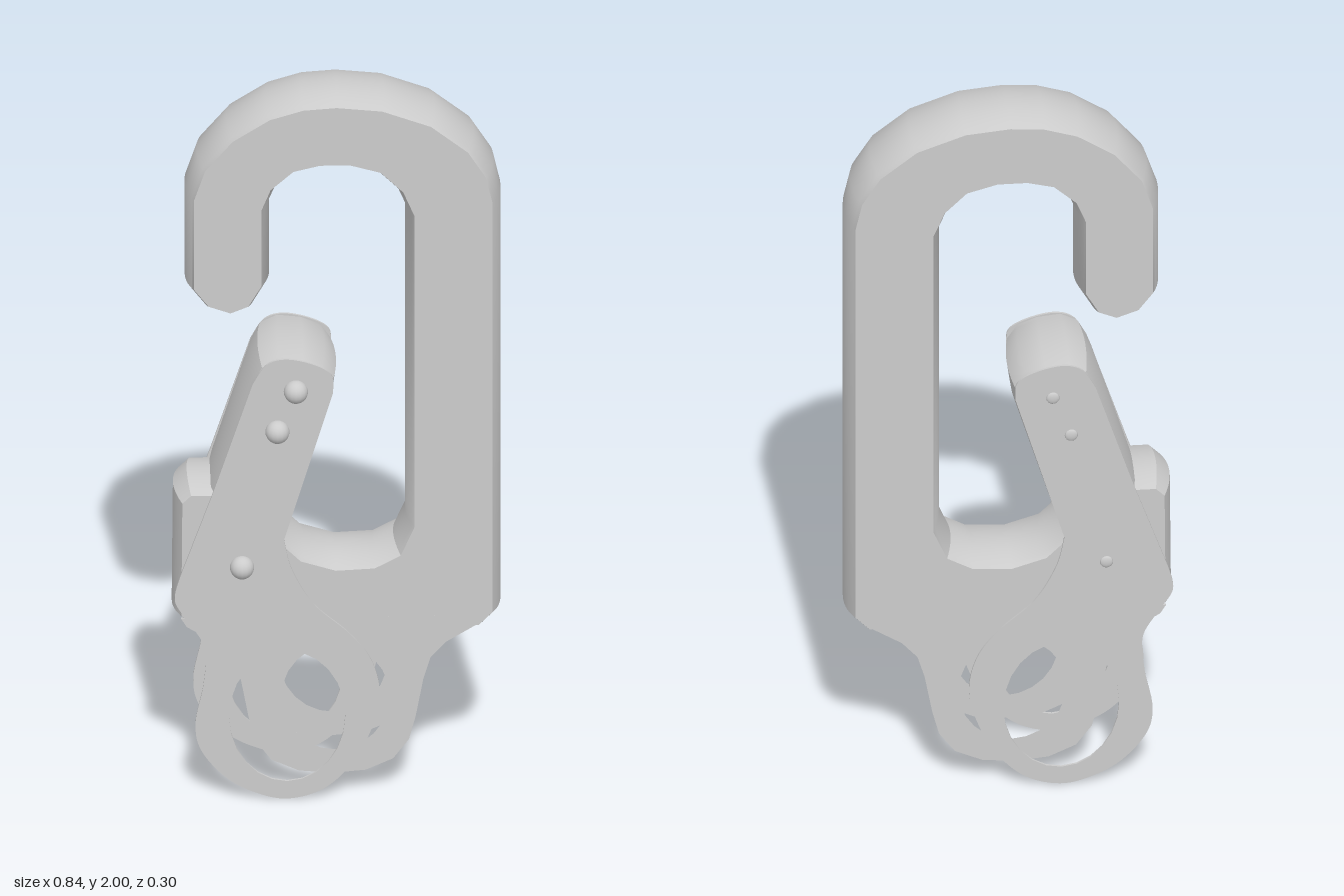
import * as THREE from 'three';
import { toCreasedNormals } from 'three/addons/utils/BufferGeometryUtils.js';

const MID_Z = -0.0125; // middle plane of the whole clip
const grey = new THREE.MeshStandardMaterial({ color: 0xcccccc });
const vectors = (pts) => pts.map(([x, y]) => new THREE.Vector2(x, y));

function add(parent, name, geometry, x = 0, y = 0, z = 0) {
  const mesh = new THREE.Mesh(geometry, grey);
  mesh.name = name;
  mesh.position.set(x, y, z);
  parent.add(mesh);
  return mesh;
}

// Solid whose side walls bulge outward in an arc between two flat faces.
function bulgedSolid(points, half, bulge) {
  const geo = new THREE.ExtrudeGeometry(new THREE.Shape(vectors(points)), {
    depth: 0.002, bevelThickness: half, bevelSize: bulge, bevelOffset: -bulge, bevelSegments: 6,
  });
  geo.translate(0, 0, -0.001);
  const pos = geo.attributes.position;
  for (let i = 0; i < pos.count; i++) {
    const z = pos.getZ(i);
    const c = Math.min(1, Math.max(0, (Math.abs(z) - 0.001) / half));
    // turn the quarter-round bevel into a shallow barrel profile
    pos.setZ(i, Math.sign(z) * (0.001 + half * Math.sqrt(1 - Math.sqrt(1 - c * c))));
  }
  return toCreasedNormals(geo, 0.6);
}

// Thin sheet with an oval finger hole.
function ringPlate(shape, cx, cy, rx, ry, thickness) {
  const hole = new THREE.Path();
  hole.absellipse(cx, cy, rx, ry, 0, Math.PI * 2, true);
  shape.holes.push(hole);
  const geo = new THREE.ExtrudeGeometry(shape, { depth: thickness, bevelEnabled: false, curveSegments: 12 });
  geo.translate(0, 0, -thickness / 2);
  return toCreasedNormals(geo, 0.6);
}

export function createModel() {
  const model = new THREE.Group();
  model.name = 'springHook';

  // Hook body: open loop with a rounded shoulder under the gate
  const body = [
    [-0.385, 1.45], [-0.34, 1.39], [-0.27, 1.365], [-0.21, 1.39], [-0.17, 1.46],
    [-0.17, 1.68], [-0.15, 1.73], [-0.1, 1.775], [-0.04, 1.79], [0.03, 1.79], [0.1, 1.77],
    [0.15, 1.72], [0.175, 1.66], [0.175, 0.77], [0.145, 0.7], [0.09, 0.67], [0, 0.665],
    [-0.08, 0.69], [-0.13, 0.74], [-0.2, 0.84], [-0.29, 0.885], [-0.38, 0.885], [-0.415, 0.85],
    [-0.418, 0.51], [-0.37, 0.46], [0.37, 0.46], [0.418, 0.51], [0.418, 1.7],
    [0.4, 1.78], [0.35, 1.86], [0.25, 1.94], [0.12, 1.988], [0, 2], [-0.09, 1.993],
    [-0.18, 1.965], [-0.28, 1.9], [-0.355, 1.81], [-0.385, 1.72],
  ];
  add(model, 'hookBody', bulgedSolid(body, 0.103, 0.022), 0, 0, MID_Z);

  // Fixed finger rings: one sheet on each face of the body, mirrored about its own axis
  const axis = -0.012;
  const side = [
    [0.385, 0.51], [0.37, 0.485], [0.29, 0.435], [0.25, 0.39], [0.232, 0.33],
    [0.212, 0.22], [0.195, 0.155], [0.155, 0.1], [0.085, 0.068],
  ];
  const rightHalf = side.map(([x, y]) => [axis + x, y]);
  const leftHalf = side.map(([x, y]) => [axis - x, y]).reverse();
  const fixedRing = () => ringPlate(
    new THREE.Shape(vectors([...rightHalf, [axis, 0.06], ...leftHalf])), axis + 0.008, 0.28, 0.138, 0.152, 0.006);

  // Gate block between the lever sheets
  const gate = [
    [-0.325, 0.87], [-0.225, 1.2], [-0.2, 1.25], [-0.15, 1.275], [-0.085, 1.268], [-0.03, 1.245],
    [0, 1.2], [-0.01, 1.13], [-0.1, 0.83], [-0.16, 0.85], [-0.24, 0.875],
  ];
  add(model, 'gateBlock', bulgedSolid(gate, 0.121, 0.012), 0, 0, MID_Z);

  // Lever sheet: rounded top arm running down into a finger ring
  const leverSheet = () => {
    const shape = new THREE.Shape();
    shape.moveTo(-0.135, 0.745);
    shape.lineTo(-0.01, 1.17);
    shape.splineThru(vectors([[-0.015, 1.22], [-0.06, 1.25], [-0.13, 1.266], [-0.18, 1.25], [-0.215, 1.195]]));
    shape.lineTo(-0.32, 0.87);
    shape.lineTo(-0.4, 0.64);
    shape.splineThru(vectors([
      [-0.412, 0.57], [-0.37, 0.5], [-0.335, 0.43], [-0.34, 0.33], [-0.36, 0.22], [-0.345, 0.14],
      [-0.28, 0.06], [-0.2, 0.015], [-0.12, 0], [-0.03, 0.03], [0.045, 0.11], [0.095, 0.22],
      [0.108, 0.31], [0.085, 0.4], [0.03, 0.475], [-0.06, 0.56], [-0.115, 0.66], [-0.135, 0.745],
    ]));
    return ringPlate(shape, -0.127, 0.238, 0.148, 0.188, 0.006);
  };

  for (const [label, s] of [['front', 1], ['back', -1]]) {
    add(model, label + 'FixedRing', fixedRing(), 0, 0, MID_Z + s * 0.101);
    add(model, label + 'LeverSheet', leverSheet(), 0, 0, MID_Z + s * 0.124);
  }

  // Rivets: domed head in front, small peened end behind
  for (const [x, y] of [[-0.105, 1.175], [-0.152, 1.06], [-0.242, 0.67]]) {
    const rivet = new THREE.Group();
    rivet.name = 'rivet';
    rivet.position.set(x, y, 0);
    model.add(rivet);
    add(rivet, 'rivetHead', new THREE.SphereGeometry(0.031, 16, 12), 0, 0, 0.118);
    add(rivet, 'rivetShaft', new THREE.CylinderGeometry(0.01, 0.01, 0.26, 10), 0, 0, -0.02).rotation.x = Math.PI / 2;
    const tail = add(rivet, 'rivetTail', new THREE.SphereGeometry(0.017, 12, 8), 0, 0, -0.147);
    tail.scale.z = 0.35;
  }
  return model;
}
